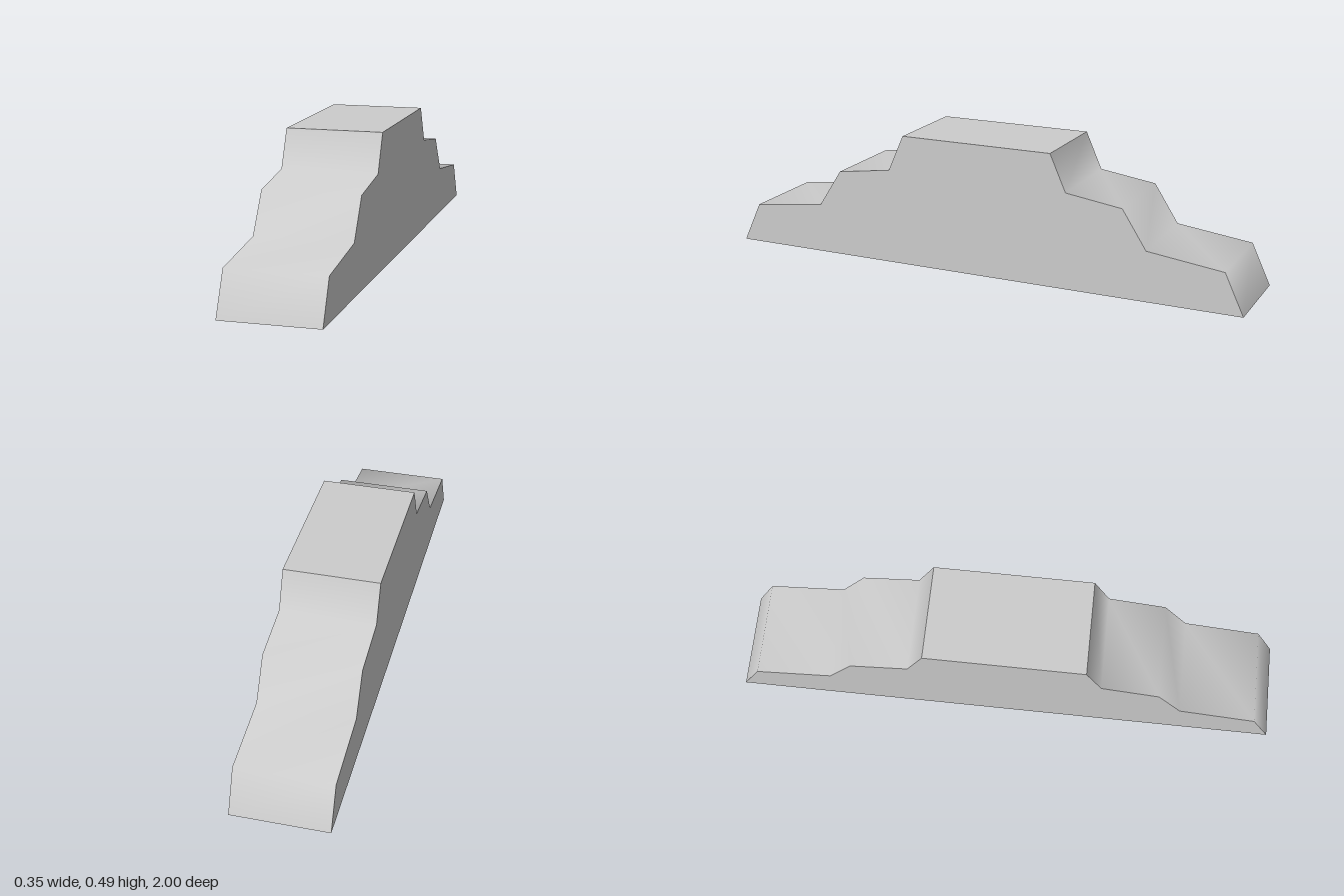
import * as THREE from 'three';

const HALF_WIDTH = 0.174;

// Stepped end profile as [z, y], from the top deck down to the ground
const PROFILE = [
  [0.29, 0.49], [0.35, 0.355], [0.56, 0.325],
  [0.65, 0.185], [0.93, 0.15], [1, 0],
];

// Smooth-shaded stepped slope: a plane whose rows follow the profile
function steppedSlope() {
  const geo = new THREE.PlaneGeometry(HALF_WIDTH * 2, 1, 1, PROFILE.length - 1);
  const pos = geo.attributes.position;
  for (let i = 0; i < pos.count; i++) {
    const [z, y] = PROFILE[Math.floor(i / 2)];
    pos.setY(i, y);
    pos.setZ(i, z);
  }
  geo.computeVertexNormals();
  return geo;
}

// Flat side wall with the full symmetric silhouette
function sideWall() {
  const shape = new THREE.Shape();
  PROFILE.forEach(([z, y], i) => (i ? shape.lineTo(z, y) : shape.moveTo(z, y)));
  [...PROFILE].reverse().forEach(([z, y]) => shape.lineTo(-z, y));
  shape.closePath();
  return new THREE.ShapeGeometry(shape);
}

export function createModel() {
  const model = new THREE.Group();
  model.name = 'steppedShell';

  const grey = new THREE.MeshStandardMaterial({ color: 0xcccccc, side: THREE.DoubleSide });
  grey.name = 'lightGrey';

  const add = (name, geometry) => {
    const mesh = new THREE.Mesh(geometry, grey);
    mesh.name = name;
    model.add(mesh);
    return mesh;
  };

  // Stepped ends
  add('frontSteps', steppedSlope());
  add('backSteps', steppedSlope().rotateY(Math.PI));

  // Side walls
  add('leftWall', sideWall().rotateY(Math.PI / 2).translate(HALF_WIDTH, 0, 0));
  add('rightWall', sideWall().rotateY(-Math.PI / 2).translate(-HALF_WIDTH, 0, 0));

  // Flat top; the underside stays open
  const [topZ, topY] = PROFILE[0];
  add('topDeck', new THREE.PlaneGeometry(HALF_WIDTH * 2, topZ * 2)
    .rotateX(-Math.PI / 2).translate(0, topY, 0));

  return model;
}
